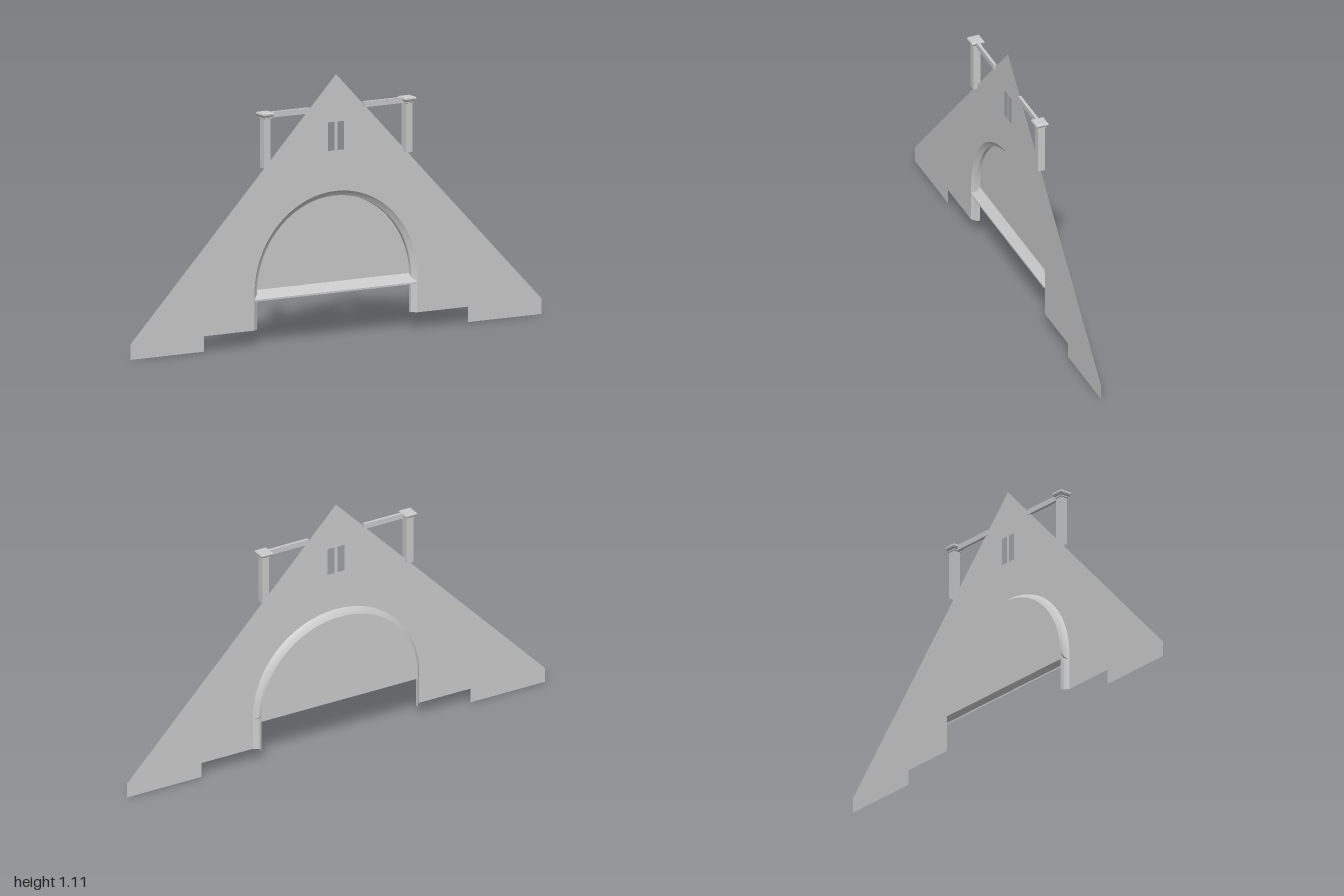
import * as THREE from 'three';
import { toCreasedNormals } from 'three/addons/utils/BufferGeometryUtils.js';

const material = new THREE.MeshStandardMaterial({ color: 0xcccccc, side: THREE.DoubleSide });
const FRONT = 0.003, BACK = -0.028;          // wall plane and recessed panel plane
const ARCH_Y = 0.217, ARCH_R = 0.375, TRIM = 0.022, JAMB_Y = 0.065;

function add(parent, name, geometry, x = 0, y = 0, z = 0) {
  const mesh = new THREE.Mesh(geometry, material);
  mesh.name = name;
  mesh.position.set(x, y, z);
  parent.add(mesh);
  return mesh;
}

// Surface joining a list of equally long rows of [x, y, z] points
function loft(rows, crease = 0.5) {
  const n = rows[0].length, index = [];
  for (let i = 0; i < rows.length - 1; i++) {
    for (let j = 0; j < n - 1; j++) {
      const a = i * n + j, b = a + n;
      index.push(a, a + 1, b, b, a + 1, b + 1);
    }
  }
  const g = new THREE.BufferGeometry();
  g.setAttribute('position', new THREE.Float32BufferAttribute(rows.flat(2), 3));
  g.setIndex(index);
  return toCreasedNormals(g, crease);
}

// Arch outline from right jamb foot, over the top, to left jamb foot
function archPath(offset, foot) {
  const r = ARCH_R + offset, points = [[r, foot]];
  for (let i = 0; i <= 48; i++) {
    const a = Math.PI * i / 48;
    points.push([r * Math.cos(a), ARCH_Y + r * Math.sin(a)]);
  }
  points.push([-r, foot]);
  return points;
}

const toShape = (points) => new THREE.Shape(points.map(([x, y]) => new THREE.Vector2(x, y)));

function gableWall() {
  const shape = toShape([
    [-1, 0], [-0.643, 0], [-0.643, JAMB_Y],
    ...archPath(TRIM, JAMB_Y).reverse(),
    [0.643, JAMB_Y], [0.643, 0], [1, 0], [1, 0.065], [0, 1.105], [-1, 0.065],
  ]);
  // Pair of narrow windows
  for (const x of [-0.04, 0.008]) {
    shape.holes.push(new THREE.Path([
      [x, 0.785], [x, 0.905], [x + 0.032, 0.905], [x + 0.032, 0.785],
    ].map(([px, py]) => new THREE.Vector2(px, py))));
  }
  return new THREE.ShapeGeometry(shape);
}

// Square moulding: profile of [half width, height]
function squareMoulding(profile) {
  return loft(profile.map(([h, y]) =>
    [[-h, y, h], [h, y, h], [h, y, -h], [-h, y, -h], [-h, y, h]]), 0.2);
}

function createPost(side) {
  const post = new THREE.Group();
  post.name = side > 0 ? 'leftPost' : 'rightPost';
  add(post, 'postShaft', squareMoulding([[0.016, 0.745], [0.016, 0.955]]));
  add(post, 'postCap', squareMoulding([
    [0.016, 0.952], [0.02, 0.954], [0.02, 0.959], [0.025, 0.963],
    [0.028, 0.969], [0.028, 0.974], [0.024, 0.979], [0, 0.979],
  ]));
  post.position.set(side * 0.345, 0, 0.004);
  return post;
}

export function createModel() {
  const model = new THREE.Group();
  model.name = 'gableFacade';

  add(model, 'gableWall', gableWall(), 0, 0, FRONT);

  // Moulded arch surround, stepping back to the recessed panel
  const profile = [[TRIM, FRONT], [0.016, -0.002], [0.006, -0.009], [0, -0.012], [0, BACK]];
  add(model, 'archSurround', loft(profile.map(([offset, z]) =>
    archPath(offset, JAMB_Y).map(([x, y]) => [x, y, z]))));

  add(model, 'archPanel', new THREE.ShapeGeometry(toShape(archPath(0, 0.2))), 0, 0, BACK);

  // Sloping sill across the foot of the panel
  add(model, 'sill', loft([[0.375, 0.228, BACK], [0.395, 0.193, 0.004], [0.395, 0.186, 0.004]]
    .map(([x, y, z]) => [[-x, y, z], [x, y, z]])));

  // Posts and the rails tying them to the gable
  for (const side of [-1, 1]) {
    model.add(createPost(side));
    add(model, side > 0 ? 'leftRail' : 'rightRail',
      new THREE.BoxGeometry(0.202, 0.024, 0.012), side * 0.233, 0.966, 0.006);
  }
  return model;
}
